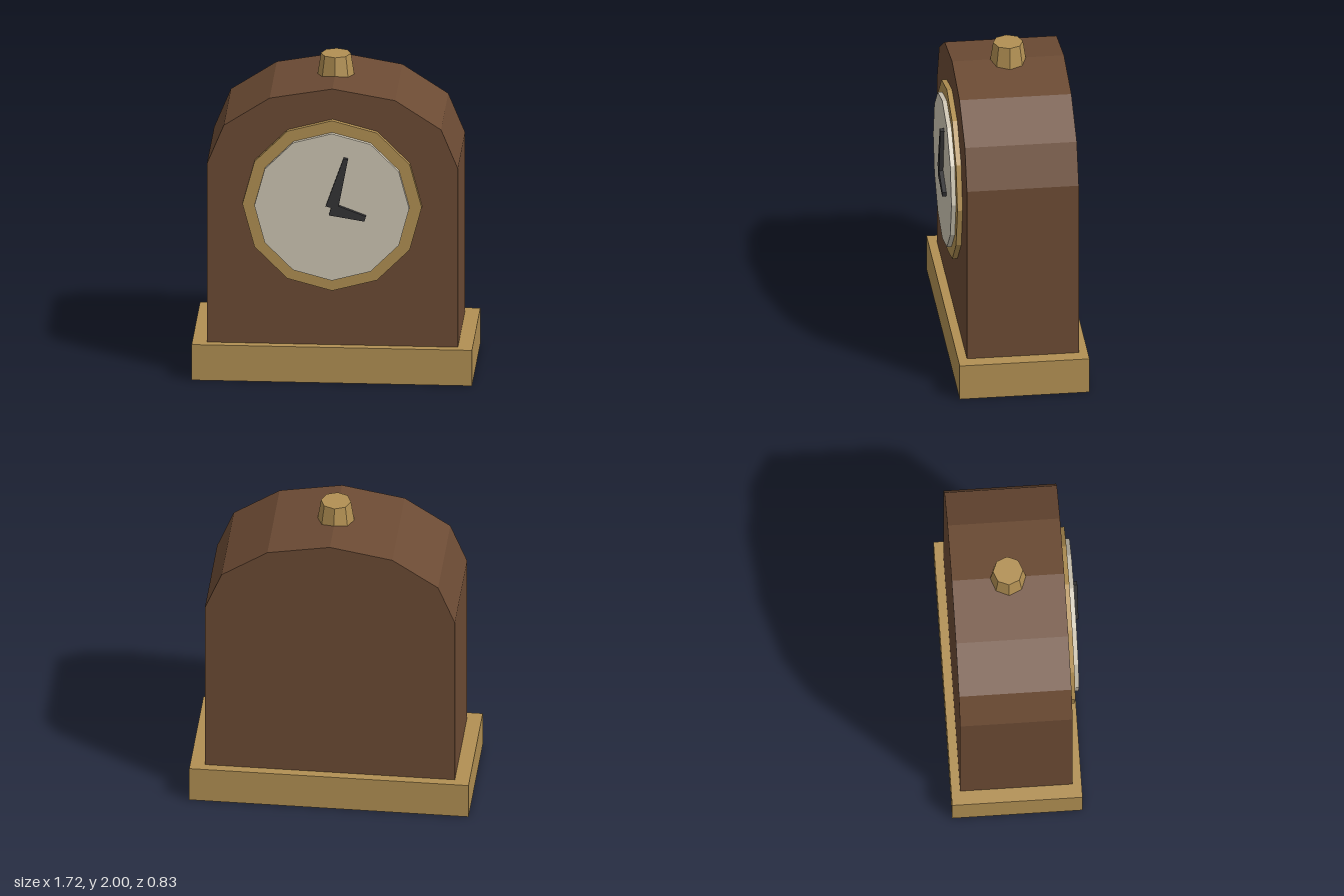
import * as THREE from 'three';

const material = (name, color) => {
  const m = new THREE.MeshStandardMaterial({ color, flatShading: true });
  m.name = name;
  return m;
};

export function createModel() {
  const group = new THREE.Group();
  const wood = material('brown wood', 0x6c4b34);
  const brass = material('brass', 0xb29053);
  const cream = material('cream', 0xcfc7b5);
  const dark = material('dark grey', 0x343436);

  const add = (name, geometry, mat, x = 0, y = 0, z = 0) => {
    const mesh = new THREE.Mesh(geometry, mat);
    mesh.name = name;
    mesh.position.set(x, y, z);
    group.add(mesh);
    return mesh;
  };
  const extrude = (points, depth) => new THREE.ExtrudeGeometry(
    new THREE.Shape(points.map(([x, y]) => new THREE.Vector2(x, y))),
    { depth, bevelEnabled: false });

  // Plinth
  add('base', new THREE.BoxGeometry(1.72, 0.23, 0.8), brass, 0, 0.115, -0.015);

  // Case with a six-sided elliptical arch
  const outline = [[-0.77, 0.23], [0.77, 0.23]];
  for (let i = 0; i <= 6; i++) {
    const a = (i / 6) * Math.PI;
    outline.push([0.77 * Math.cos(a), 1.385 + 0.5 * Math.sin(a)]);
  }
  add('case', extrude(outline, 0.69), wood, 0, 0, -0.36);

  // Knob on the roof
  add('knob', new THREE.CylinderGeometry(0.092, 0.115, 0.15, 8), brass, 0, 1.925, -0.015);

  // Bezel and dial as twelve-sided discs
  const disc = (radius, back, front) =>
    new THREE.CylinderGeometry(radius, radius, front - back, 12)
      .rotateX(Math.PI / 2).translate(0, 0, (front + back) / 2);
  add('bezel', disc(0.55, 0.32, 0.362), brass, 0, 1.14);
  add('dial', disc(0.475, 0.35, 0.39), cream, 0, 1.14);

  // Tapered hands, turned clockwise from twelve
  const hand = (name, length, tipHalf, degrees, x, y) => {
    const shape = [[-0.039, 0], [0.039, 0], [tipHalf, length], [-tipHalf, length]];
    add(name, extrude(shape, 0.03), dark, x, y, 0.385)
      .rotation.z = -THREE.MathUtils.degToRad(degrees);
  };
  hand('minuteHand', 0.33, 0.014, 15, 0.002, 1.143);
  hand('hourHand', 0.22, 0.017, 105, -0.006, 1.133);

  return group;
}
